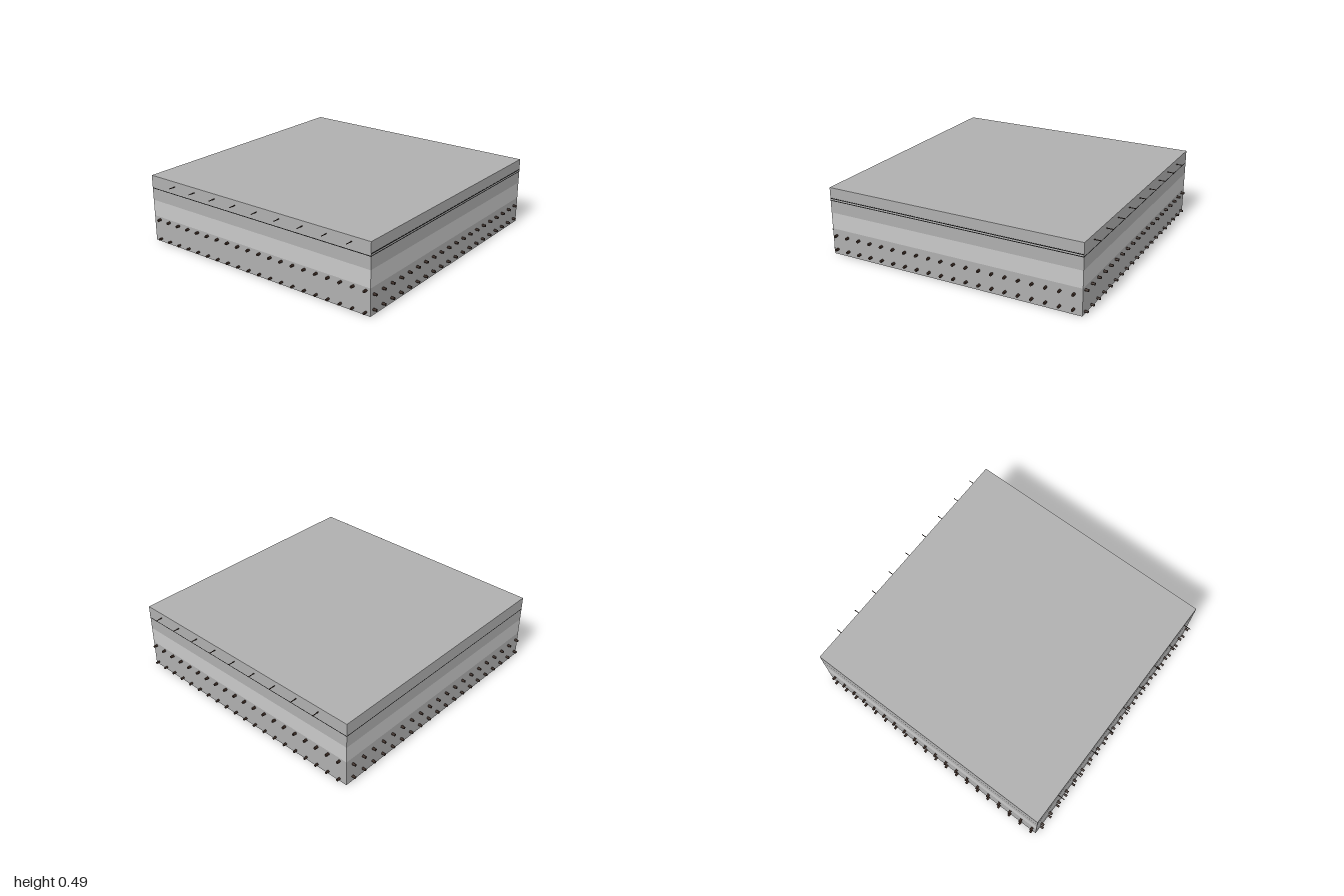
import * as THREE from 'three';

const material = (name, color) => {
  const m = new THREE.MeshStandardMaterial({ color });
  m.name = name;
  return m;
};

export function createModel() {
  const model = new THREE.Group();
  model.name = 'layeredRoofSlab';
  const concrete = material('concrete grey', 0xafafaf);
  const insulation = material('insulation light grey', 0xc8c8c8);
  const membrane = material('membrane black', 0x161616);
  const steel = material('dark steel', 0x35261f);
  const SIZE = 1.9;

  // Stacked layers, each from y0 to y1
  const layers = [
    ['structuralSlab', 0, 0.19, concrete],
    ['insulationLayer', 0.19, 0.31, insulation],
    ['screedLayer', 0.31, 0.397, concrete],
    ['waterproofMembrane', 0.397, 0.403, membrane],
    ['protectionLayer', 0.403, 0.415, concrete],
    ['toppingSlab', 0.415, 0.494, concrete],
  ];
  for (const [name, y0, y1, mat] of layers) {
    const layer = new THREE.Mesh(new THREE.BoxGeometry(SIZE, y1 - y0, SIZE), mat);
    layer.name = name;
    layer.position.y = (y0 + y1) / 2;
    model.add(layer);
  }

  // Thin separating strip on the front edge
  const strip = new THREE.Mesh(new THREE.BoxGeometry(SIZE, 0.005, 0.004), membrane);
  strip.name = 'frontSeparationStrip';
  strip.position.set(0, 0.415, SIZE / 2);
  model.add(strip);

  // Rows of reinforcing bars running through the slabs
  const barRow = (name, axis, y, first, step, count, radius, length) => {
    const row = new THREE.Group();
    row.name = name;
    const geometry = new THREE.CylinderGeometry(radius, radius, length, 10);
    if (axis === 'x') geometry.rotateZ(Math.PI / 2);
    else geometry.rotateX(Math.PI / 2);
    for (let i = 0; i < count; i++) {
      const bar = new THREE.Mesh(geometry, steel);
      bar.name = 'bar';
      const offset = first + i * step;
      if (axis === 'x') bar.position.set(0, y, offset);
      else bar.position.set(offset, y, 0);
      row.add(bar);
    }
    model.add(row);
  };
  barRow('upperLengthwiseBars', 'z', 0.142, -0.918, 0.0953, 20, 0.009, 1.95);
  barRow('lowerLengthwiseBars', 'z', 0.038, -0.918, 0.0953, 20, 0.009, 1.95);
  barRow('upperCrosswiseBars', 'x', 0.169, -0.893, 0.0953, 20, 0.009, 1.95);
  barRow('lowerCrosswiseBars', 'x', 0.022, -0.893, 0.0953, 20, 0.008, 1.95);
  barRow('toppingMeshBars', 'x', 0.458, -0.716, 0.1905, 9, 0.003, 2);

  return model;
}
